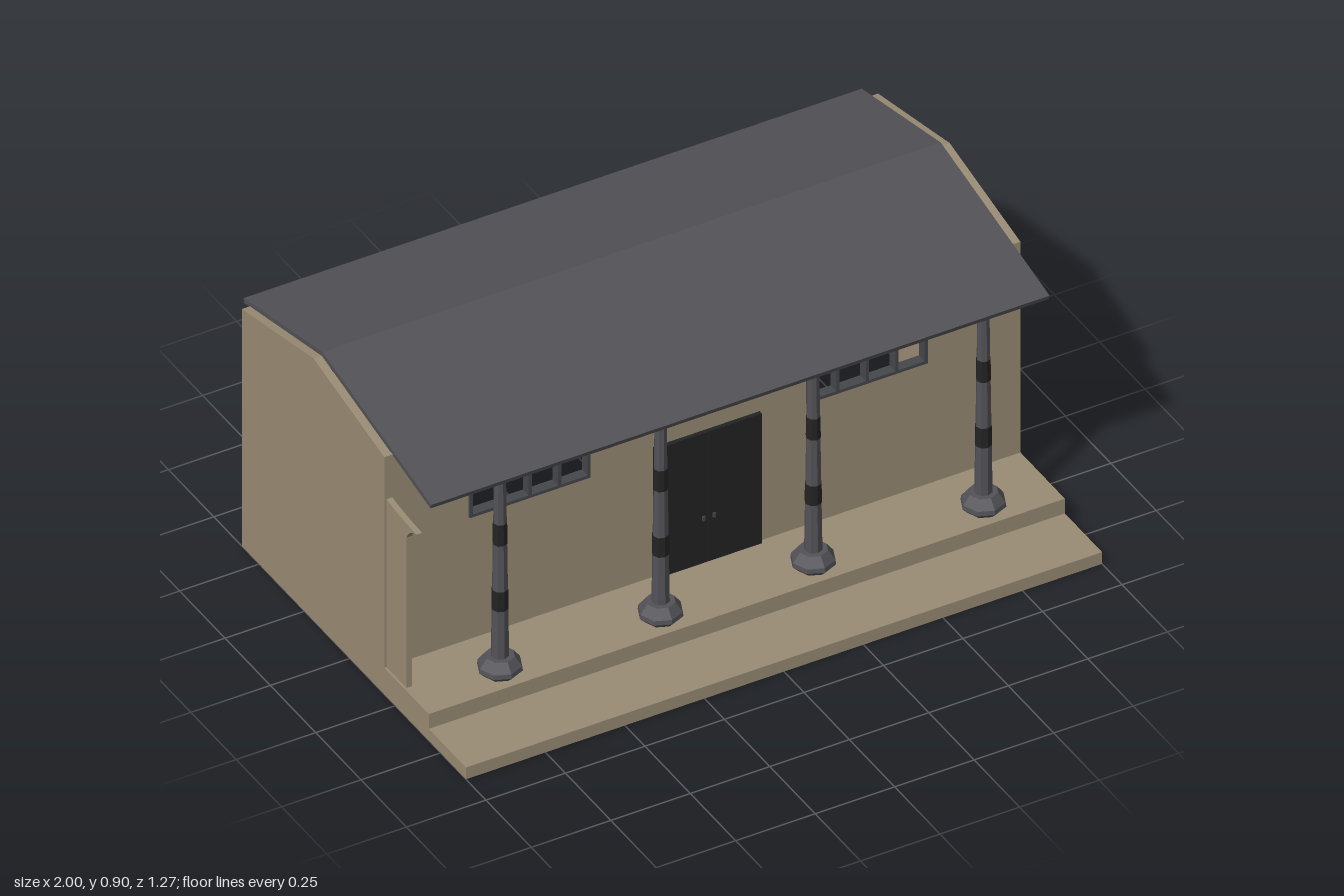
import * as THREE from 'three';

const mat = (name, color) => new THREE.MeshStandardMaterial({ name, color });

export function createModel() {
  const house = new THREE.Group();
  house.name = 'house';
  const plaster = mat('tan plaster', 0x9a8c75);
  const slate = mat('grey roof', 0x525257);
  const iron = mat('dark grey metal', 0x45474b);
  const black = mat('black', 0x232323);

  const add = (name, geometry, material, x = 0, y = 0, z = 0, parent = house) => {
    const mesh = new THREE.Mesh(geometry, material);
    mesh.name = name;
    mesh.position.set(x, y, z);
    parent.add(mesh);
    return mesh;
  };
  // Box given by its minimum and maximum corners
  const box = (name, m, [x0, y0, z0], [x1, y1, z1], parent) =>
    add(name, new THREE.BoxGeometry(x1 - x0, y1 - y0, z1 - z0), m,
      (x0 + x1) / 2, (y0 + y1) / 2, (z0 + z1) / 2, parent);
  // Side profile in (z, y), extruded along x about a centre
  const profile = (name, m, shape, width, x = 0) => {
    const g = new THREE.ExtrudeGeometry(shape, { depth: width, bevelEnabled: false, curveSegments: 8 });
    g.translate(0, 0, -width / 2).rotateY(-Math.PI / 2);
    return add(name, g, m, x);
  };
  const polygon = (pts) => new THREE.Shape(pts.map(([a, b]) => new THREE.Vector2(a, b)));

  // Gable end walls
  const T = 0.025, BACK = -0.595, FRONT = 0.19;
  const gable = polygon([[BACK, 0], [FRONT, 0], [FRONT, 0.805], [-0.2, 0.89], [BACK, 0.805]]);
  for (const s of [-1, 1]) profile('gableWall', plaster, gable, T, s * (1 - T / 2));

  // Long walls with window openings
  const windows = [[-0.735, -0.355], [0.325, 0.705]];
  const W0 = 0.505, W1 = 0.655, E = 1 - T;
  const longWall = (name, z) => {
    const shape = polygon([[-E, 0], [E, 0], [E, 0.803], [-E, 0.803]]);
    for (const [a, b] of windows) shape.holes.push(polygon([[a, W0], [a, W1], [b, W1], [b, W0]]));
    add(name, new THREE.ExtrudeGeometry(shape, { depth: T, bevelEnabled: false }), plaster, 0, 0, z);
  };
  longWall('frontWall', FRONT - T);
  longWall('backWall', BACK);

  // Window frames, unglazed, with three mullions
  const frame = (a, b, z0, z1) => {
    const g = new THREE.Group();
    g.name = 'windowFrame';
    house.add(g);
    const t = 0.01;
    box('sill', iron, [a, W0, z0], [b, W0 + t, z1], g);
    box('head', iron, [a, W1 - t, z0], [b, W1, z1], g);
    for (let i = 0; i <= 4; i++) {
      const x = a + (b - a - t) * i / 4;
      box('mullion', iron, [x, W0 + t, z0], [x + t, W1 - t, z1], g);
    }
  };
  for (const [a, b] of windows) {
    frame(a, b, FRONT - T, FRONT + 0.007);
    frame(a, b, BACK - 0.007, BACK + T);
  }

  // Double door with pull handles
  box('leftDoor', black, [0.0135, 0.09, FRONT], [0.18, 0.53, 0.203]);
  box('rightDoor', black, [-0.155, 0.09, FRONT], [0.0115, 0.53, 0.203]);
  for (const x of [-0.008, 0.025]) box('doorHandle', iron, [x, 0.235, 0.203], [x + 0.008, 0.25, 0.207]);

  // Porch and step
  profile('porchSteps', plaster,
    polygon([[FRONT, 0], [0.64, 0], [0.64, 0.04], [0.435, 0.04], [0.435, 0.09], [FRONT, 0.09]]), 2);

  // Porch side wall, flaring forward at the top
  const fin = new THREE.Shape();
  fin.moveTo(FRONT, 0.09);
  fin.lineTo(0.3, 0.09);
  fin.lineTo(0.3, 0.6);
  fin.quadraticCurveTo(0.315, 0.635, 0.355, 0.645);
  fin.quadraticCurveTo(0.25, 0.648, FRONT, 0.66);
  profile('porchSideWall', plaster, fin, 0.018, -0.984);

  // Pitched roof, longer over the porch
  profile('roof', slate, polygon([
    [0.395, 0.752], [0.4, 0.767], [-0.2, 0.902], [-0.635, 0.806], [-0.632, 0.791], [-0.2, 0.887],
  ]), 1.944);

  // Porch columns on faceted bases
  const base = new THREE.LatheGeometry(
    [[0, 0.09], [0.047, 0.09], [0.065, 0.108], [0.063, 0.122], [0.042, 0.15], [0, 0.15]]
      .map(([r, y]) => new THREE.Vector2(r, y)), 8).toNonIndexed();
  base.computeVertexNormals();
  const radius = (y) => 0.026 - 0.009 * (y - 0.15) / 0.615;
  const shaft = (y0, y1, grow) => {
    const g = new THREE.CylinderGeometry(radius(y1) + grow, radius(y0) + grow, y1 - y0, 8)
      .translate(0, (y0 + y1) / 2, 0).toNonIndexed();
    g.computeVertexNormals();
    return g;
  };
  const post = shaft(0.15, 0.765, 0);
  const bands = [shaft(0.31, 0.375, 0.001), shaft(0.53, 0.6, 0.001)];
  for (const x of [-0.735, -0.23, 0.25, 0.785]) {
    const column = new THREE.Group();
    column.name = 'porchColumn';
    column.position.set(x, 0, 0.363);
    house.add(column);
    add('columnBase', base, slate, 0, 0, 0, column);
    add('columnShaft', post, slate, 0, 0, 0, column);
    for (const b of bands) add('columnBand', b, black, 0, 0, 0, column);
  }
  return house;
}
